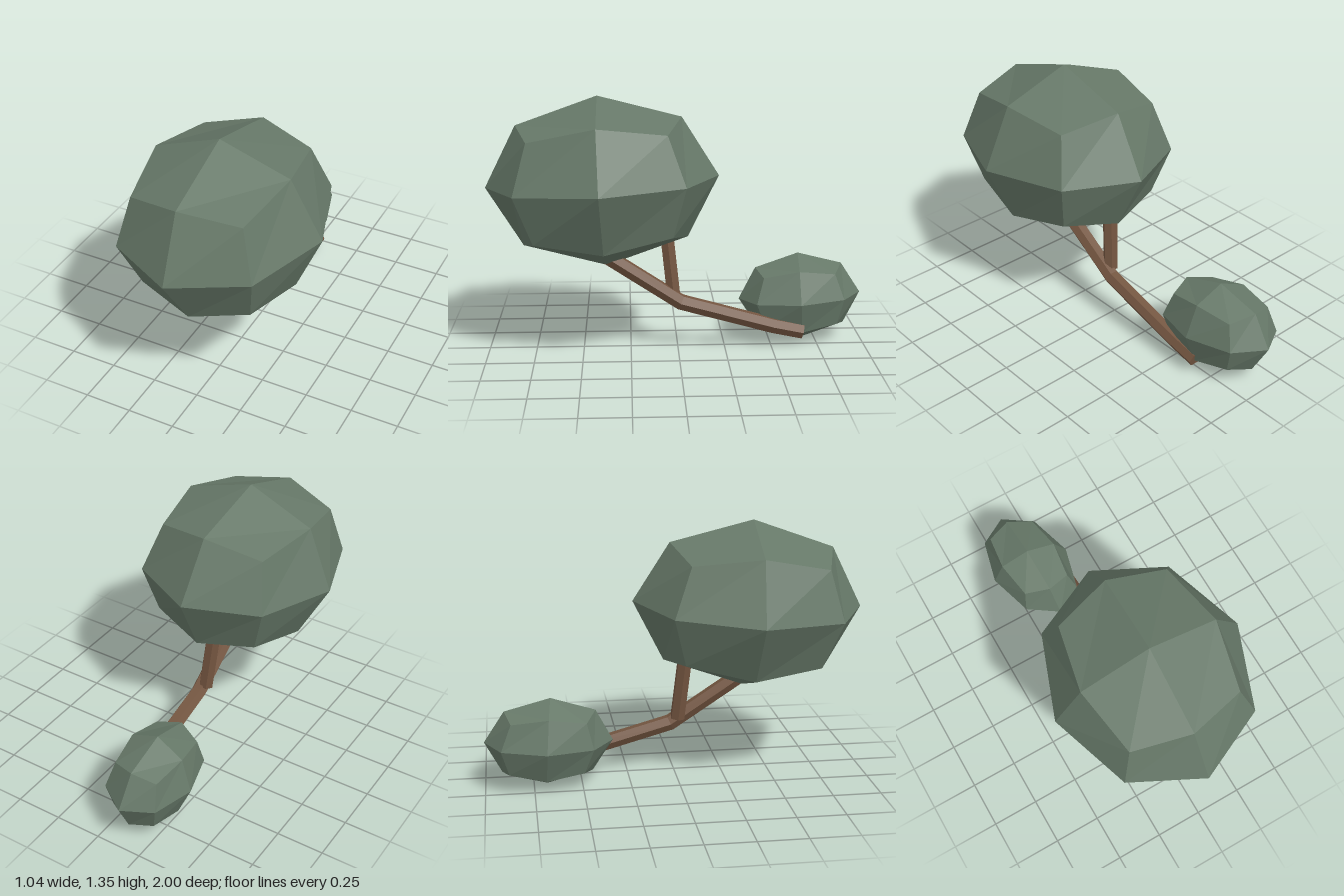
import * as THREE from 'three';

const leafMaterial = new THREE.MeshStandardMaterial({ color: 0x667868, flatShading: true });
const barkMaterial = new THREE.MeshStandardMaterial({ color: 0x735540, flatShading: true });

const vec = (p) => new THREE.Vector3(...p);

function makeMesh(name, geometry, material) {
  const flat = geometry.toNonIndexed();
  flat.computeVertexNormals();
  const mesh = new THREE.Mesh(flat, material);
  mesh.name = name;
  return mesh;
}

// Leaf clump: a 2x2x2 box rounded into a ball, then stretched along three slightly tilted axes
function leafClump(name, center, axisX, axisY, axisZ) {
  const geometry = new THREE.BoxGeometry(1, 1, 1, 2, 2, 2);
  const pos = geometry.attributes.position;
  const p = new THREE.Vector3();
  for (let i = 0; i < pos.count; i++) {
    p.fromBufferAttribute(pos, i).normalize();
    pos.setXYZ(i, p.x, p.y, p.z);
  }
  const matrix = new THREE.Matrix4().makeBasis(vec(axisX), vec(axisY), vec(axisZ)).setPosition(vec(center));
  geometry.applyMatrix4(matrix);
  return makeMesh(name, geometry, leafMaterial);
}

// Branch: six-sided rings swept along a path, mitred at the bends and capped at both ends
function branch(name, path, radius, sides = 6) {
  const points = path.map(vec);
  const last = points.length - 1;
  const positions = [];
  const index = [];
  points.forEach((point, i) => {
    const before = points[i].clone().sub(points[Math.max(i - 1, 0)]).normalize();
    const after = points[Math.min(i + 1, last)].clone().sub(points[i]).normalize();
    const tangent = before.clone().add(after).normalize();
    const mitre = 1 / tangent.dot(i < last ? after : before);
    const up = tangent.clone().cross(new THREE.Vector3(1, 0, 0)).normalize();
    const across = up.clone().cross(tangent);
    for (let k = 0; k < sides; k++) {
      const a = (k / sides) * Math.PI * 2;
      const corner = point.clone()
        .addScaledVector(across, Math.cos(a) * radius)
        .addScaledVector(up, Math.sin(a) * radius * mitre);
      positions.push(corner.x, corner.y, corner.z);
    }
  });
  for (let i = 0; i < last; i++) {
    for (let k = 0; k < sides; k++) {
      const a = i * sides + k;
      const b = i * sides + ((k + 1) % sides);
      index.push(a, b, b + sides, a, b + sides, a + sides);
    }
  }
  const end = last * sides;
  for (let k = 1; k < sides - 1; k++) {
    index.push(0, k + 1, k, end, end + k, end + k + 1);
  }
  const geometry = new THREE.BufferGeometry();
  geometry.setAttribute('position', new THREE.Float32BufferAttribute(positions, 3));
  geometry.setIndex(index);
  return makeMesh(name, geometry, barkMaterial);
}

export function createModel() {
  const group = new THREE.Group();
  group.name = 'branchWithLeaves';

  group.add(
    leafClump('largeLeafClump', [0, 0.905, 0.393],
      [0.52, 0.018, 0.01], [-0.017, 0.445, 0.022], [-0.01, -0.03, 0.607]),
    leafClump('smallLeafClump', [-0.128, 0.24, -0.668],
      [0.222, 0.004, 0.017], [-0.012, 0.235, 0.012], [0.012, -0.012, 0.332]),
    // Main branch runs from the small clump up into the large one
    branch('mainBranch', [
      [0.033, 0.087, -0.668], [0.033, 0.12, -0.51], [0.033, 0.257, -0.015], [0.033, 0.51, 0.37],
    ], 0.043),
    // Side branch rises from the bend
    branch('sideBranch', [[0.009, 0.288, 0.022], [-0.022, 0.66, 0.062]], 0.04),
  );
  return group;
}
